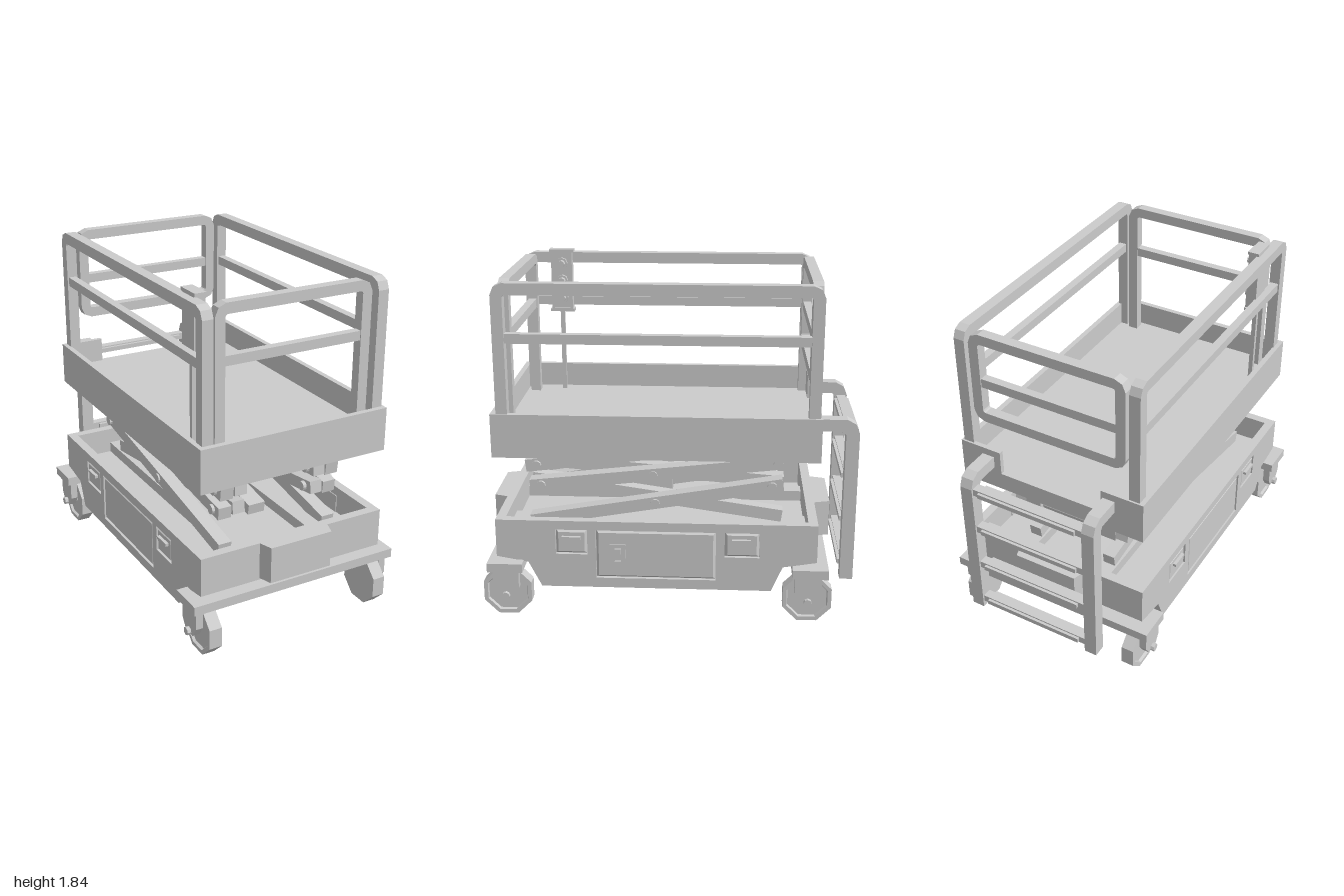
import * as THREE from 'three';

const grey = new THREE.MeshStandardMaterial({ color: 0xcccccc, flatShading: true });

export function createModel() {
  const root = new THREE.Group();
  const part = (name) => {
    const g = new THREE.Group();
    g.name = name;
    root.add(g);
    return g;
  };
  const add = (parent, geo, name) => {
    const m = new THREE.Mesh(geo, grey);
    m.name = name;
    parent.add(m);
    return m;
  };
  // Box given by its limits on each axis
  const box = (parent, name, x0, x1, y0, y1, z0, z1) => {
    const m = add(parent, new THREE.BoxGeometry(Math.abs(x1 - x0), y1 - y0, Math.abs(z1 - z0)), name);
    m.position.set((x0 + x1) / 2, (y0 + y1) / 2, (z0 + z1) / 2);
    return m;
  };
  // Cylinder lying along x
  const rod = (parent, name, r, x0, x1, y, z, sides = 10) => {
    const m = add(parent, new THREE.CylinderGeometry(r, r, Math.abs(x1 - x0), sides).rotateZ(Math.PI / 2), name);
    m.position.set((x0 + x1) / 2, y, z);
    return m;
  };
  const vecs = (pts) => pts.map(([a, b]) => new THREE.Vector2(a, b));
  const prism = (pts, depth, holes = []) => {
    const shape = new THREE.Shape(vecs(pts));
    shape.holes = holes.map((h) => new THREE.Path(vecs(h)));
    return new THREE.ExtrudeGeometry(shape, { depth, bevelEnabled: false });
  };
  // Side profile in (z, y), extruded from x0 to x1
  const side = (parent, name, pts, x0, x1, holes = []) => {
    const flip = (l) => l.map(([z, y]) => [-z, y]);
    const m = add(parent, prism(flip(pts), Math.abs(x1 - x0), holes.map(flip)).rotateY(Math.PI / 2), name);
    m.position.x = Math.min(x0, x1);
    return m;
  };
  const rect = (a0, a1, b0, b1) => [[a0, b0], [a1, b0], [a1, b1], [a0, b1]];
  // Rectangle with rounded top corners, and rounded bottom corners when closed
  const rounded = (a0, a1, b0, b1, r, closed) => {
    const k = r * 0.3;
    const top = [[a1, b1 - r], [a1 - k, b1 - k], [a1 - r, b1], [a0 + r, b1], [a0 + k, b1 - k], [a0, b1 - r]];
    const low = closed
      ? [[a0, b0 + r], [a0 + k, b0 + k], [a0 + r, b0], [a1 - r, b0], [a1 - k, b0 + k], [a1, b0 + r]]
      : [[a0, b0], [a1, b0]];
    return [...top, ...low];
  };
  // Bent tube arch as a single outline
  const arch = (a0, a1, b0, b1, t) => {
    const outer = rounded(a0, a1, b0, b1, 0.06, false);
    const inner = rounded(a0 + t, a1 - t, b0, b1 - t, 0.012, false);
    return [...outer.slice(0, 7), inner[6], ...inner.slice(0, 6).reverse(), inner[7], outer[7]];
  };

  // Chassis: open tub with sloped ends, side walls cut out for the hatches
  const chassis = part('chassis');
  const lower = [[0.92, 0.34], [0.75, 0.31], [0.68, 0.17], [-0.55, 0.17], [-0.61, 0.31], [-0.79, 0.34]];
  const hatches = [[-0.255, 0.385, 0.225, 0.5], [0.43, 0.6, 0.36, 0.5], [-0.485, -0.3, 0.36, 0.5]];
  side(chassis, 'tub', [[0.92, 0.4], ...lower, [-0.79, 0.4]], -0.49, 0.49);
  for (const s of [-1, 1]) {
    side(chassis, 'sideWall', [[0.92, 0.55], ...lower, [-0.79, 0.55]], s * 0.49, s * 0.54,
      hatches.map((h) => rect(...h)));
    box(chassis, 'innerRail', s * 0.19, s * 0.28, 0.4, 0.46, -0.74, 0.87);
  }
  for (const [z, d, reach] of [[0.92, 1, 0.072], [-0.79, -1, 0.085]]) {
    box(chassis, 'endWall', -0.49, 0.49, 0.4, 0.55, z - d * 0.05, z);
    const nose = [[-0.21, z - d * 0.02], [0.21, z - d * 0.02], [0.18, z + d * reach], [-0.18, z + d * reach]];
    const geo = prism(nose.map(([x, zz]) => [x, -zz]), 0.2).rotateX(-Math.PI / 2);
    add(chassis, geo, 'endHousing').position.y = 0.35;
  }
  box(chassis, 'frontBumper', -0.6, 0.6, 0.27, 0.32, 0.775, 0.965);
  box(chassis, 'rearBumper', -0.6, 0.6, 0.27, 0.32, -0.85, -0.66);

  // Side hatches set into the cut-outs, with bevelled edges and pull handles
  const panels = part('sidePanels');
  for (const s of [-1, 1]) {
    for (const [z0, z1, y0, y1] of hatches) {
      const shape = new THREE.Shape(vecs(rect(-z1 + 0.015, -z0 - 0.015, y0 + 0.015, y1 - 0.015)));
      const plate = new THREE.ExtrudeGeometry(shape,
        { depth: 0.006, bevelThickness: 0.018, bevelSize: 0.014, bevelOffset: 0, bevelSegments: 1 });
      add(panels, plate.rotateY(Math.PI / 2), 'hatch').position.x = s * 0.516 - 0.003;
      box(panels, 'hatchBacking', s * 0.485, s * 0.518, y0, y1, z0, z1);
    }
    for (const z of [0.515, -0.39]) {
      box(panels, 'pullHandle', s * 0.53, s * 0.555, 0.448, 0.464, z - 0.05, z + 0.05);
    }
  }
  side(panels, 'switchPlate', rect(0.225, 0.31, 0.27, 0.42), 0.53, 0.544,
    [rect(0.243, 0.292, 0.285, 0.335), rect(0.243, 0.292, 0.355, 0.405)]);
  for (const y of [0.31, 0.38]) box(panels, 'switch', 0.53, 0.548, y - 0.017, y + 0.017, 0.251, 0.284);

  // Casters with octagonal wheels
  const R = 0.13 / Math.cos(Math.PI / 8);
  const wheelProfile = vecs([[0, -0.035], [R, -0.035], [R, 0.035], [R * 0.84, 0.035], [R * 0.8, 0.02], [0, 0.02]]);
  for (const s of [-1, 1]) for (const z of [0.87, -0.745]) {
    const caster = part('caster');
    const geo = new THREE.LatheGeometry(wheelProfile, 8, Math.PI / 8).rotateZ(-s * Math.PI / 2);
    add(caster, geo, 'wheel').position.set(s * 0.5, 0.13, z);
    side(caster, 'fork', [[z + 0.07, 0.27], [z + 0.07, 0.17], [z + 0.035, 0.115], [z - 0.035, 0.115],
      [z - 0.07, 0.17], [z - 0.07, 0.27]], s * 0.54, s * 0.58);
    rod(caster, 'axle', 0.022, s * 0.5, s * 0.6, 0.13, z, 8);
  }

  // Scissor lift: three crossed stages, bars drawn in (z, y)
  const lift = part('scissorLift');
  const bar = (name, x, w, h, [z0, y0], [z1, y1], ext) => {
    const m = add(lift, new THREE.BoxGeometry(w, h, Math.hypot(z1 - z0, y1 - y0) + ext), name);
    m.position.set(x, (y0 + y1) / 2, (z0 + z1) / 2);
    m.rotation.x = -Math.atan2(y1 - y0, z1 - z0);
  };
  const frontEnds = [[0.7, 0.48], [0.7, 0.68], [0.72, 0.795], [0.72, 0.93]];
  const backEnds = [[-0.55, 0.5], [-0.55, 0.695], [-0.58, 0.825], [-0.55, 0.95]];
  const mids = [[0.08, 0.585], [0.09, 0.745], [0.09, 0.875]];
  for (const s of [-1, 1]) {
    for (let i = 0; i < 3; i++) {
      bar('outerArm', s * 0.315, 0.075, 0.068, frontEnds[i], backEnds[i + 1], 0.12);
      bar('innerArm', s * 0.235, 0.07, 0.068, frontEnds[i + 1], backEnds[i], 0.12);
      rod(lift, 'centrePin', 0.026, s * 0.19, s * 0.362, mids[i][1], mids[i][0]);
    }
    for (const [z, y] of [frontEnds[1], frontEnds[2], backEnds[1], backEnds[2]]) {
      rod(lift, 'endPin', 0.026, s * 0.18, s * 0.368, y, z);
    }
    for (const [z, y] of [backEnds[1], backEnds[2]]) {
      box(lift, 'endBlock', s * 0.19, s * 0.28, y - 0.04, y + 0.03, z - 0.065, z + 0.02);
    }
  }
  for (const [z, y] of [backEnds[1], backEnds[2]]) rod(lift, 'crossTube', 0.04, -0.3, 0.3, y - 0.01, z);
  bar('hydraulicCylinder', 0, 0.1, 0.06, [0.55, 0.525], [-0.26, 0.655], 0);
  box(lift, 'liftBracket', -0.065, 0.065, 0.55, 0.735, 0, 0.1);
  box(lift, 'bracketHead', -0.035, 0.035, 0.73, 0.79, 0.015, 0.085);

  // Platform tray, open at the rear between two short walls
  const platform = part('platform');
  box(platform, 'floor', -0.54, 0.54, 0.9, 1.0, -0.79, 0.92);
  box(platform, 'frontWall', -0.54, 0.54, 1.0, 1.135, 0.89, 0.92);
  for (const s of [-1, 1]) {
    box(platform, 'sideWall', s * 0.51, s * 0.54, 1.0, 1.135, -0.79, 0.89);
    box(platform, 'rearWall', s * 0.3, s * 0.51, 1.0, 1.135, -0.79, -0.765);
  }

  // Guard rails and rear gate
  const rails = part('guardRails');
  for (const x of [-0.485, 0.498]) {
    side(rails, 'sideRail', arch(-0.78, 0.89, 1.0, 1.815, 0.06), x - 0.03, x + 0.03);
    box(rails, 'sideMidRail', x - 0.022, x + 0.022, 1.505, 1.555, -0.74, 0.85);
  }
  const across = (name, z, outline, holes) => {
    add(rails, prism(outline, 0.055, holes), name).position.z = z - 0.0275;
    box(rails, name + 'MidRail', -0.4, 0.41, 1.505, 1.555, z - 0.022, z + 0.022);
  };
  across('frontRail', 0.84, arch(-0.435, 0.445, 1.0, 1.815, 0.055));
  across('rearGate', -0.75, rounded(-0.435, 0.445, 1.3, 1.815, 0.06, true),
    [rounded(-0.38, 0.39, 1.355, 1.76, 0.012, true)]);

  // Control box: a shallow framed tray of knobs on a thin pole
  const control = part('controlBox');
  box(control, 'backPlate', -0.47, -0.44, 1.48, 1.83, 0.61, 0.73);
  side(control, 'rim', rect(0.61, 0.73, 1.48, 1.83), -0.445, -0.41, [rect(0.625, 0.715, 1.495, 1.815)]);
  for (const y of [1.484, 1.829]) box(control, 'cap', -0.472, -0.408, y - 0.008, y + 0.008, 0.6, 0.74);
  for (const y of [1.555, 1.655, 1.755]) {
    rod(control, 'knobBase', 0.032, -0.445, -0.42, y, 0.67, 8);
    rod(control, 'knob', 0.02, -0.43, -0.385, y, 0.67, 8);
  }
  box(control, 'pole', -0.46, -0.436, 1.0, 1.48, 0.663, 0.687);

  // Rear ladder
  const ladder = part('ladder');
  const bend = [[-0.78, 1.095], [-0.93, 1.095], [-0.975, 1.07], [-0.995, 1.02], [-0.995, 0.19],
    [-0.925, 0.19], [-0.925, 1.01], [-0.91, 1.03], [-0.78, 1.03]];
  for (const x of [-0.345, 0.375]) side(ladder, 'ladderRail', bend, x - 0.035, x + 0.035);
  for (const y of [1.0, 0.75, 0.5, 0.245]) {
    box(ladder, 'step', -0.27, 0.305, y - 0.013, y + 0.013, -1, -0.918);
    box(ladder, 'stepCore', -0.32, 0.35, y - 0.02, y + 0.02, -0.985, -0.935);
  }
  return root;
}
